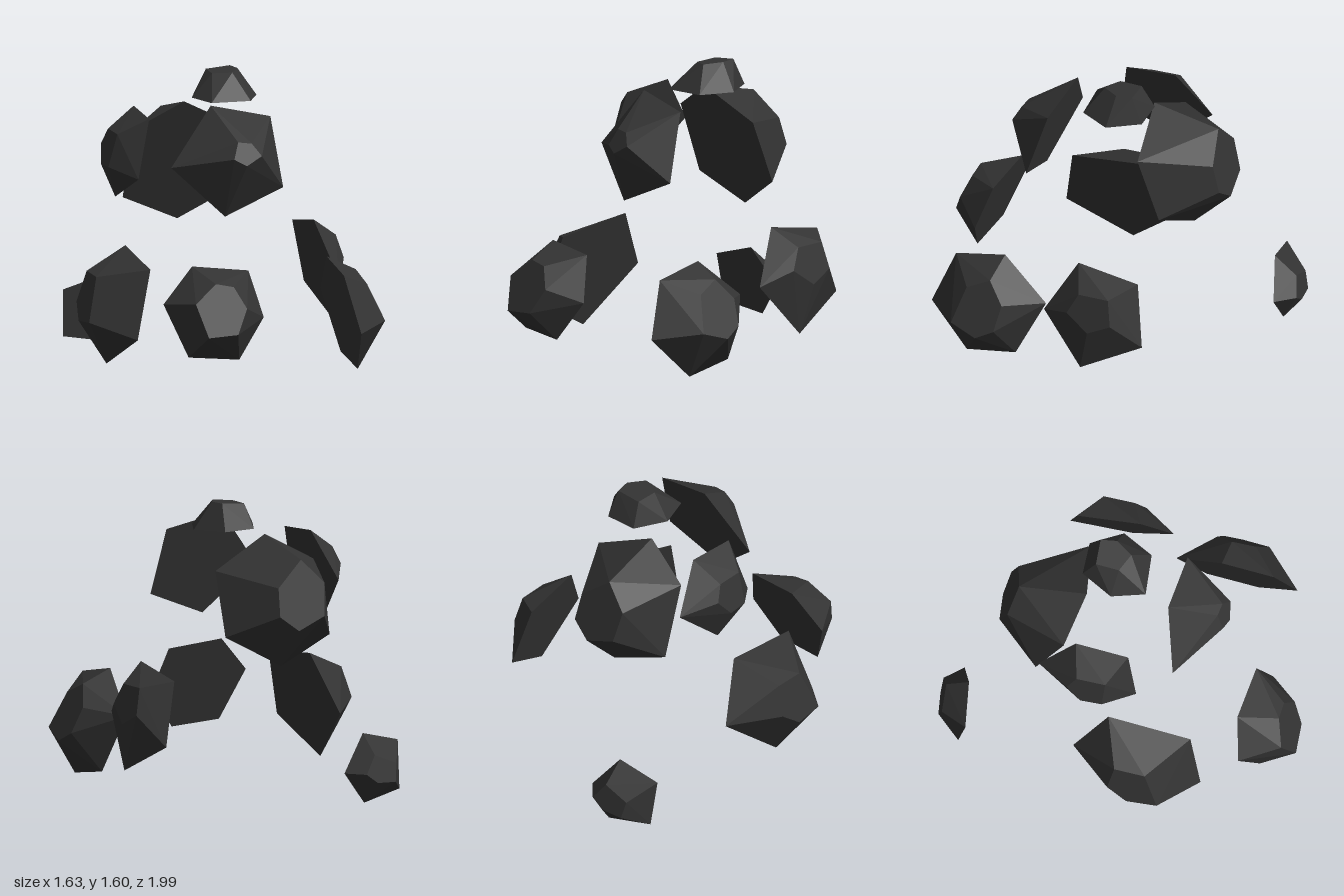
import * as THREE from 'three';
import { ConvexGeometry } from 'three/addons/geometries/ConvexGeometry.js';

// Projects a ring of corners onto its average plane so the face is truly flat
function flatRing(ring) {
  const pts = ring.map((p) => new THREE.Vector3(...p));
  const centre = new THREE.Vector3();
  pts.forEach((p) => centre.addScaledVector(p, 1 / pts.length));
  const normal = new THREE.Vector3();
  pts.forEach((p, i) => {
    const a = p.clone().sub(centre);
    const b = pts[(i + 1) % pts.length].clone().sub(centre);
    normal.add(a.cross(b));
  });
  const plane = new THREE.Plane().setFromNormalAndCoplanarPoint(normal.normalize(), centre);
  return pts.map((p) => plane.projectPoint(p, new THREE.Vector3()));
}

export function createModel() {
  const group = new THREE.Group();
  group.name = 'floatingRockShards';
  const stone = new THREE.MeshStandardMaterial({ color: 0x333333 });
  stone.name = 'darkStone';

  // A shard is a faceted dome: a wide flat base facing inward, a small cap facing outward
  const shard = (name, base, cap) => {
    const mesh = new THREE.Mesh(new ConvexGeometry([...flatRing(base), ...flatRing(cap)]), stone);
    mesh.name = name;
    group.add(mesh);
  };

  // Upper shards
  shard('topShard',
    [[-0.08, 1.457, -0.095], [0.02, 1.455, -0.27], [0.2, 1.455, -0.265],
      [0.295, 1.457, -0.09], [0.2, 1.44, 0.08], [-0.03, 1.445, 0.09]],
    [[0.04, 1.59, -0.2], [0.18, 1.6, -0.2], [0.19, 1.61, -0.11], [0.13, 1.58, -0.02], [0.03, 1.59, -0.07]]);

  shard('upperFrontShard',
    [[-0.34, 1.13, 0.29], [-0.085, 1.455, 0.23], [0.245, 1.387, 0.275], [0.28, 1.005, 0.375], [-0.065, 0.867, 0.41]],
    [[-0.02, 1.285, 0.49], [0.055, 1.275, 0.5], [0.1, 1.21, 0.54], [0.01, 1.16, 0.55], [-0.055, 1.195, 0.525]]);

  shard('upperBackShard',
    [[-0.075, 1.415, -0.235], [0.265, 1.25, -0.27], [0.28, 0.895, -0.38],
      [-0.02, 0.735, -0.51], [-0.35, 0.86, -0.45], [-0.34, 1.26, -0.305]],
    [[-0.075, 1.335, -0.605], [-0.2, 1.2, -0.64], [-0.17, 1.03, -0.71],
      [0, 0.96, -0.7], [0.105, 1.045, -0.68], [0.09, 1.2, -0.645]]);

  shard('upperRightShard',
    [[-0.375, 1.405, -0.235], [-0.375, 1.37, 0.06], [-0.47, 1.05, 0.12], [-0.495, 0.915, -0.18], [-0.42, 1.15, -0.43]],
    [[-0.53, 1.29, -0.2], [-0.53, 1.28, -0.04], [-0.58, 1.1, -0.05], [-0.58, 1.1, -0.17], [-0.55, 1.2, -0.25]]);

  // Lower shards
  shard('lowerFrontShard',
    [[-0.35, 0.64, 0.66], [-0.04, 0.61, 0.71], [0.02, 0.36, 0.79],
      [-0.14, 0.14, 0.84], [-0.42, 0.16, 0.8], [-0.53, 0.445, 0.7]],
    [[-0.42, 0.47, 0.92], [-0.29, 0.57, 0.88], [-0.19, 0.55, 0.89],
      [-0.13, 0.435, 0.94], [-0.2, 0.3, 0.99], [-0.37, 0.29, 0.99]]);

  shard('lowerBackShard',
    [[-0.57, 0.315, -0.81], [-0.33, 0.38, -0.835], [-0.18, 0.18, -0.89], [-0.3, 0.005, -0.895], [-0.555, 0.05, -0.855]],
    [[-0.47, 0.22, -0.96], [-0.33, 0.28, -0.965], [-0.26, 0.18, -0.985], [-0.33, 0.13, -1], [-0.45, 0.12, -0.98]]);

  shard('lowerRightShard',
    [[-0.48, 0.665, -0.03], [-0.52, 0.6, 0.43], [-0.6, 0.22, 0.505], [-0.66, 0.045, 0.13], [-0.575, 0.35, -0.21]],
    [[-0.74, 0.55, 0.05], [-0.75, 0.54, 0.22], [-0.815, 0.3, 0.3], [-0.82, 0.29, 0.13], [-0.79, 0.38, 0.02]]);

  shard('lowerLeftFrontShard',
    [[0.52, 0.55, 0.7], [0.525, 0.617, 0.41], [0.58, 0.4, 0.145],
      [0.64, 0.07, 0.3], [0.645, 0.015, 0.59], [0.57, 0.24, 0.82]],
    [[0.7, 0.475, 0.565], [0.68, 0.54, 0.435], [0.74, 0.43, 0.345],
      [0.8, 0.29, 0.37], [0.81, 0.23, 0.47], [0.79, 0.28, 0.625]]);

  shard('lowerLeftBackShard',
    [[0.62, 0.75, -0.06], [0.61, 0.695, -0.41], [0.715, 0.35, -0.47], [0.76, 0.165, -0.13], [0.7, 0.45, 0.11]],
    [[0.77, 0.65, -0.12], [0.765, 0.655, -0.295], [0.81, 0.51, -0.32], [0.815, 0.44, -0.19], [0.79, 0.53, -0.06]]);

  return group;
}
